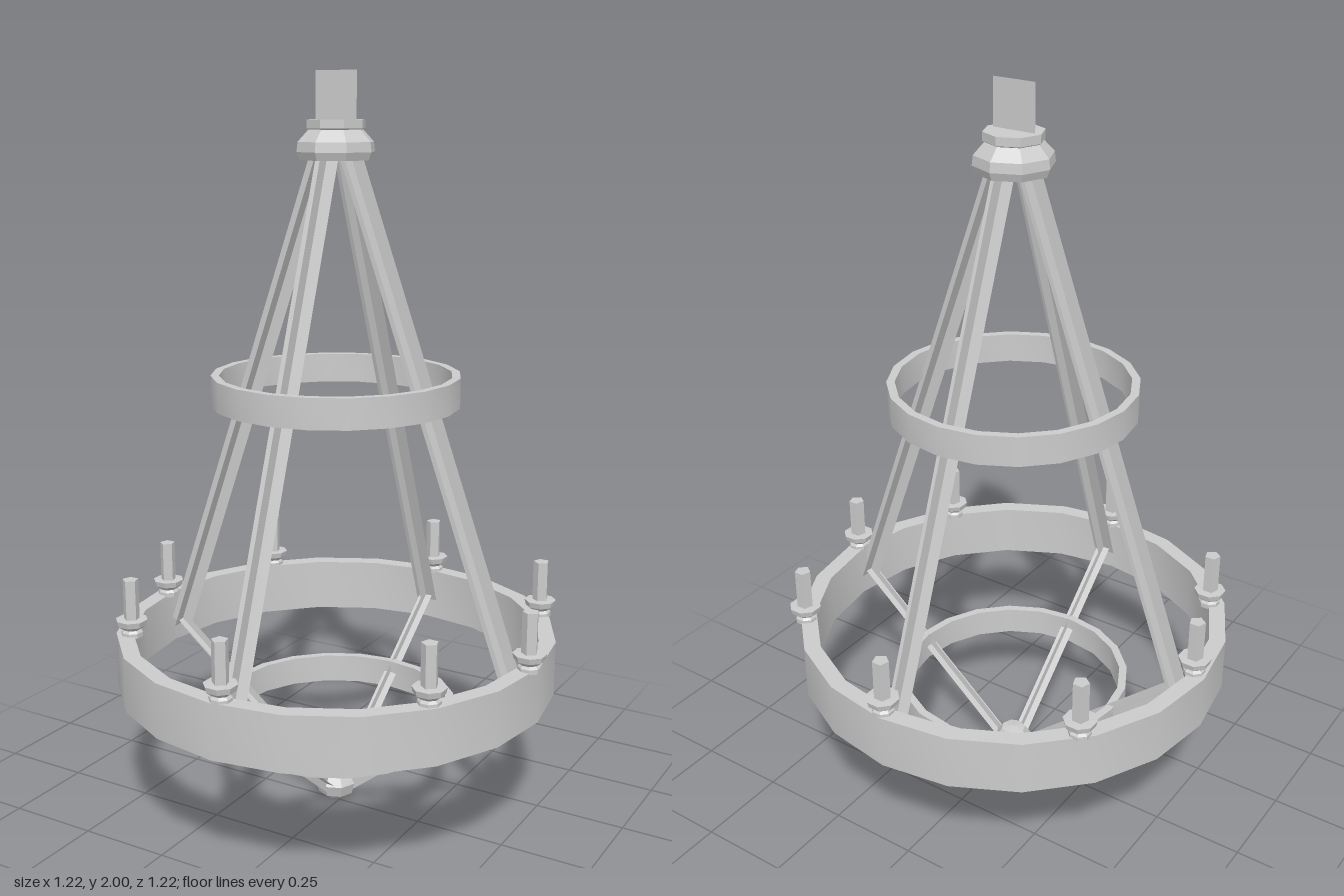
import * as THREE from 'three';
import { toCreasedNormals } from 'three/addons/utils/BufferGeometryUtils.js';

const CX = -0.01; // the frame sits very slightly off the candle centre
const metal = new THREE.MeshStandardMaterial({ color: 0xcccccc });
const faceted = new THREE.MeshStandardMaterial({ color: 0xcccccc, flatShading: true });
const strip = new THREE.MeshStandardMaterial({ color: 0xcccccc, side: THREE.DoubleSide });

function add(parent, name, geometry, material, x = 0, y = 0, z = 0) {
  const mesh = new THREE.Mesh(geometry, material);
  mesh.name = name;
  mesh.position.set(x, y, z);
  parent.add(mesh);
  return mesh;
}

const lathe = (points, sides) =>
  new THREE.LatheGeometry(points.map(([r, y]) => new THREE.Vector2(r, y)), sides);

// Flat hoop with a rectangular section
function hoop(outer, inner, y0, y1) {
  const section = [[outer, y0], [outer, y1], [inner, y1], [inner, y0], [outer, y0]];
  return toCreasedNormals(lathe(section, 20), 0.5);
}

// Bar made of two crossed flat strips between two points
function crossedBar(parent, name, from, to, width) {
  const bar = new THREE.Group();
  bar.name = name;
  const along = from.clone().sub(to);
  const length = along.length();
  along.normalize();
  const across = new THREE.Vector3(0, 1, 0).cross(along).normalize();
  const normal = across.clone().cross(along);
  bar.quaternion.setFromRotationMatrix(new THREE.Matrix4().makeBasis(across, along, normal));
  bar.position.copy(from).add(to).multiplyScalar(0.5);
  for (const turn of [0, Math.PI / 2]) {
    add(bar, name + 'Strip', new THREE.PlaneGeometry(width, length), strip).rotation.y = turn;
  }
  parent.add(bar);
}

export function createModel() {
  const model = new THREE.Group();
  model.name = 'chandelier';

  // Hoops
  add(model, 'mainHoop', hoop(0.6, 0.555, 0.375, 0.525), metal, CX);
  add(model, 'upperHoop', hoop(0.33, 0.308, 1.15, 1.23), metal, CX);
  add(model, 'lowerHoop', hoop(0.33, 0.308, 0.23, 0.31), metal, CX);

  // Ceiling cap, hanging plate and bottom finial
  const cap = [[0, 1.78], [0.095, 1.78], [0.103, 1.8], [0.1, 1.825], [0.072, 1.855],
    [0.077, 1.858], [0.077, 1.88], [0, 1.88]];
  add(model, 'ceilingCap', lathe(cap, 8), faceted, CX);
  add(model, 'hangingPlate', new THREE.PlaneGeometry(0.12, 0.13), strip, CX, 1.935, 0);
  const finial = [[0, 0], [0.025, 0.012], [0.05, 0.03], [0.06, 0.062], [0.035, 0.1], [0, 0.105]];
  add(model, 'finial', lathe(finial, 8), faceted, CX);

  // Four long suspension bars and four short braces below
  for (const [dx, dz] of [[1, 0], [-1, 0], [0, 1], [0, -1]]) {
    const endX = dx * 0.53 + 0.003;
    const endZ = dz * 0.53 + (dx ? 0.02 : 0);
    const at = (r, y) => new THREE.Vector3(CX + dx * r, y, dz * r);
    crossedBar(model, 'suspensionBar', at(0.04, 1.8), new THREE.Vector3(endX, 0.44, endZ), 0.066);
    crossedBar(model, 'lowerBrace', new THREE.Vector3(endX, 0.46, endZ), at(0.03, 0.05), 0.04);
  }

  // Candles in small dishes around the main hoop
  const dish = [[0, 0.52], [0.03, 0.52], [0.03, 0.533], [0.024, 0.54], [0.04, 0.552],
    [0.044, 0.568], [0, 0.57]];
  const places = [[0.57, 0.02], [-0.57, 0.02], [0.003, 0.57], [0.003, -0.57],
    [0.445, 0.335], [-0.455, 0.335], [0.44, -0.367], [-0.455, -0.367]];
  for (const [x, z] of places) {
    const holder = new THREE.Group();
    holder.name = 'candleHolder';
    holder.position.set(x, 0, z);
    const bowl = add(holder, 'candleDish', lathe(dish, 8), faceted);
    bowl.rotation.y = Math.PI / 8;
    add(holder, 'candle', new THREE.CylinderGeometry(0.022, 0.022, 0.115, 5), faceted, 0, 0.6225, 0);
    model.add(holder);
  }
  return model;
}
